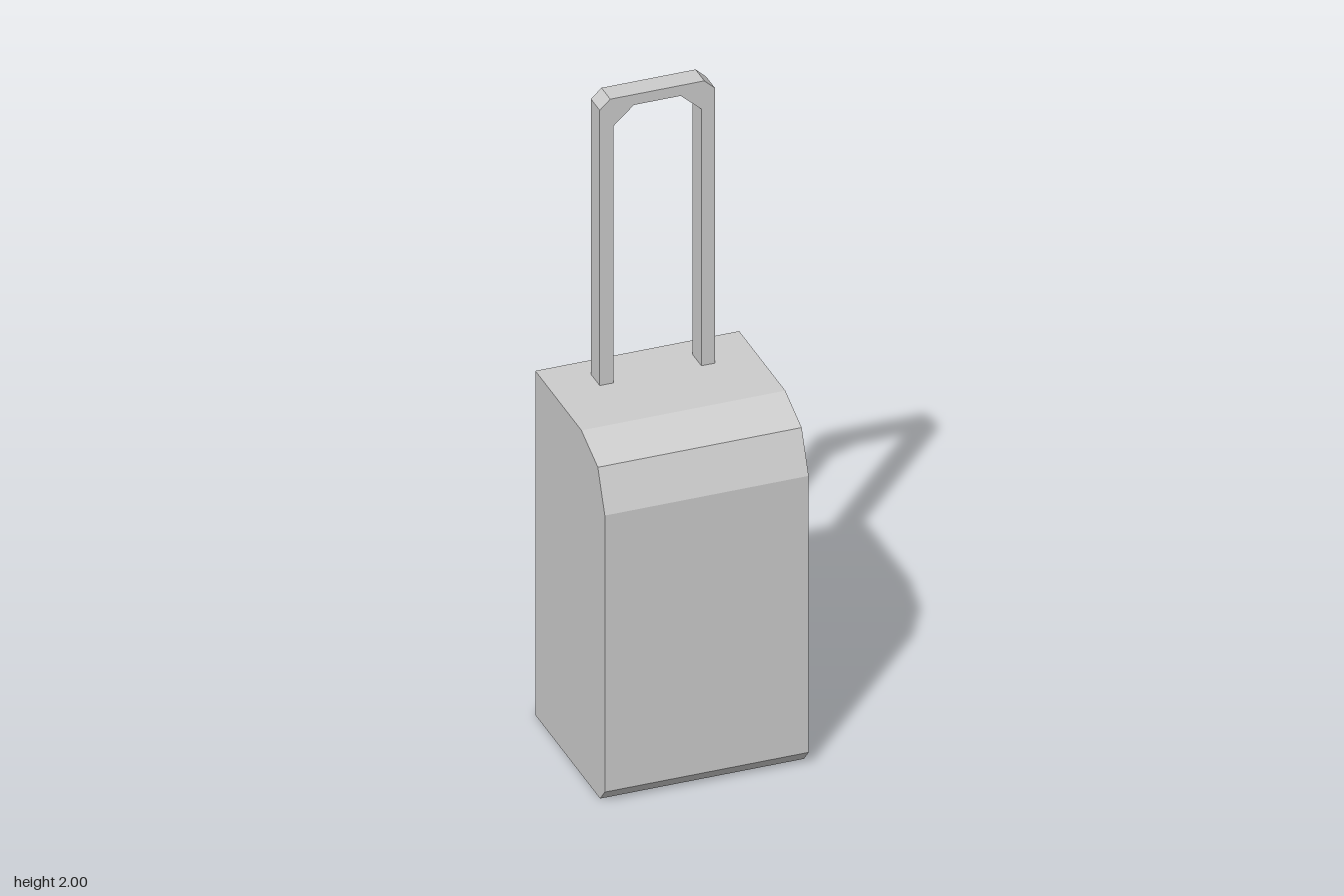
import * as THREE from 'three';

const material = new THREE.MeshStandardMaterial({ color: 0xcccccc, flatShading: true });

// Extrude a closed outline, centred on its own depth
function extrudeOutline(name, points, depth) {
  const shape = new THREE.Shape(points.map(([x, y]) => new THREE.Vector2(x, y)));
  const geometry = new THREE.ExtrudeGeometry(shape, { depth, bevelEnabled: false });
  geometry.translate(0, 0, -depth / 2);
  const mesh = new THREE.Mesh(geometry, material);
  mesh.name = name;
  return mesh;
}

export function createModel() {
  const group = new THREE.Group();
  group.name = 'suitcase';

  // Case: side profile (z, y) swept across the width
  const body = extrudeOutline('caseBody', [
    [-0.264, 0], [0.228, 0], [0.264, 0.04], [0.264, 0.92],
    [0.211, 1.045], [0.086, 1.095], [-0.264, 1.095],
  ], 0.602);
  body.geometry.rotateY(-Math.PI / 2);
  group.add(body);

  // Pull handle: chamfered arch, right half mirrored to the left
  const outer = [[0.17, 1.09], [0.17, 1.971], [0.139, 2]];
  const inner = [[0.069, 1.967], [0.13, 1.912], [0.13, 1.09]];
  const mirror = (points) => points.map(([x, y]) => [-x, y]).reverse();
  const handle = extrudeOutline('pullHandle',
    [...outer, ...mirror(outer), ...mirror(inner), ...inner], 0.067);
  handle.position.set(0.005, 0, -0.158);
  group.add(handle);

  return group;
}
